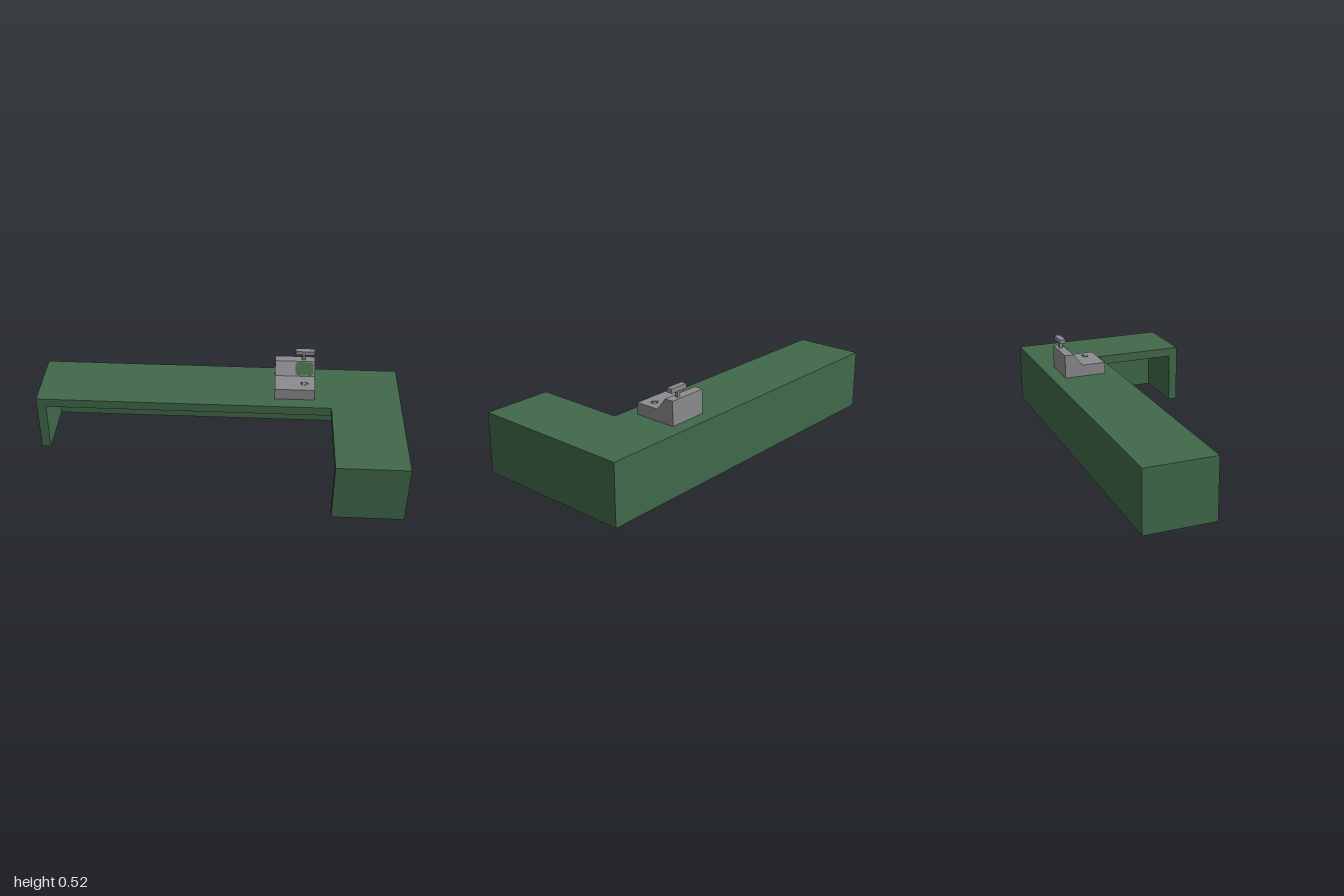
import * as THREE from 'three';

const green = new THREE.MeshStandardMaterial({ color: 0x41694a });
green.name = 'counterGreen';
const grey = new THREE.MeshStandardMaterial({ color: 0x8c8c8f });
grey.name = 'registerGrey';
const dark = new THREE.MeshStandardMaterial({ color: 0x5c5c5f });
dark.name = 'keypadGrey';

const outline = (points) => new THREE.Shape(points.map(([a, b]) => new THREE.Vector2(a, b)));
const extrude = (points, depth) =>
  new THREE.ExtrudeGeometry(outline(points), { depth, bevelEnabled: false });

// Floor-plan outline given as [x, z], extruded upwards from y
function plan(points, y, height) {
  return extrude(points.map(([x, z]) => [x, -z]), height)
    .rotateX(-Math.PI / 2)
    .translate(0, y, 0);
}

function add(parent, name, geometry, material) {
  const mesh = new THREE.Mesh(geometry, material);
  mesh.name = name;
  parent.add(mesh);
  return mesh;
}

export function createModel() {
  const model = new THREE.Group();
  model.name = 'shopCounter';
  const D = 0.443, T = 0.05, H = 0.33, inner = -0.065, arm = 0.62;

  // L-shaped top slab
  const counter = new THREE.Group();
  counter.name = 'counter';
  model.add(counter);
  add(counter, 'counterTop', plan(
    [[-1, -D], [1, -D], [1, D], [arm, D], [arm, inner], [-1, inner]], H - T, T), green);

  // Continuous outer wall, open on the inside of the L
  add(counter, 'counterWalls', plan([
    [-1, -D], [1, -D], [1, D], [arm, D], [arm, D - T], [1 - T, D - T],
    [1 - T, T - D], [T - 1, T - D], [T - 1, inner], [-1, inner],
  ], 0, H - T), green);

  // Cash register body: side profile as [-z, y], extruded along x
  const register = new THREE.Group();
  register.name = 'cashRegister';
  model.add(register);
  const body = extrude([
    [0.137, H], [0.37, H], [0.37, 0.46], [0.32, 0.46], [0.27, 0.394], [0.137, 0.394],
  ], 0.22).rotateY(Math.PI / 2).translate(0.31, 0, 0);
  add(register, 'registerBody', body, grey);

  // Screen with clipped corners on the sloping face
  const w = 0.05, h = 0.037, c = 0.012;
  const screen = add(register, 'screen', extrude([
    [-w + c, -h], [w - c, -h], [w, -h + c], [w, h - c],
    [w - c, h], [-w + c, h], [-w, h - c], [-w, -h + c],
  ], 0.002), green);
  screen.position.set(0.473, 0.427, -0.295);
  screen.rotation.x = -Math.atan2(0.05, 0.066);

  // Small ring of keys on the low deck
  for (let i = 0; i < 8; i++) {
    const a = (i / 8) * Math.PI * 2;
    const key = add(register, 'key', new THREE.BoxGeometry(0.009, 0.002, 0.006), dark);
    key.position.set(0.472 + Math.cos(a) * 0.018, 0.395, -0.2 + Math.sin(a) * 0.014);
    key.rotation.y = -a;
  }

  // Customer display on its pole
  add(register, 'displayPole', new THREE.BoxGeometry(0.018, 0.036, 0.018), grey)
    .position.set(0.468, 0.478, -0.345);
  add(register, 'customerDisplay', new THREE.BoxGeometry(0.106, 0.023, 0.033), grey)
    .position.set(0.474, 0.507, -0.345);

  return model;
}
